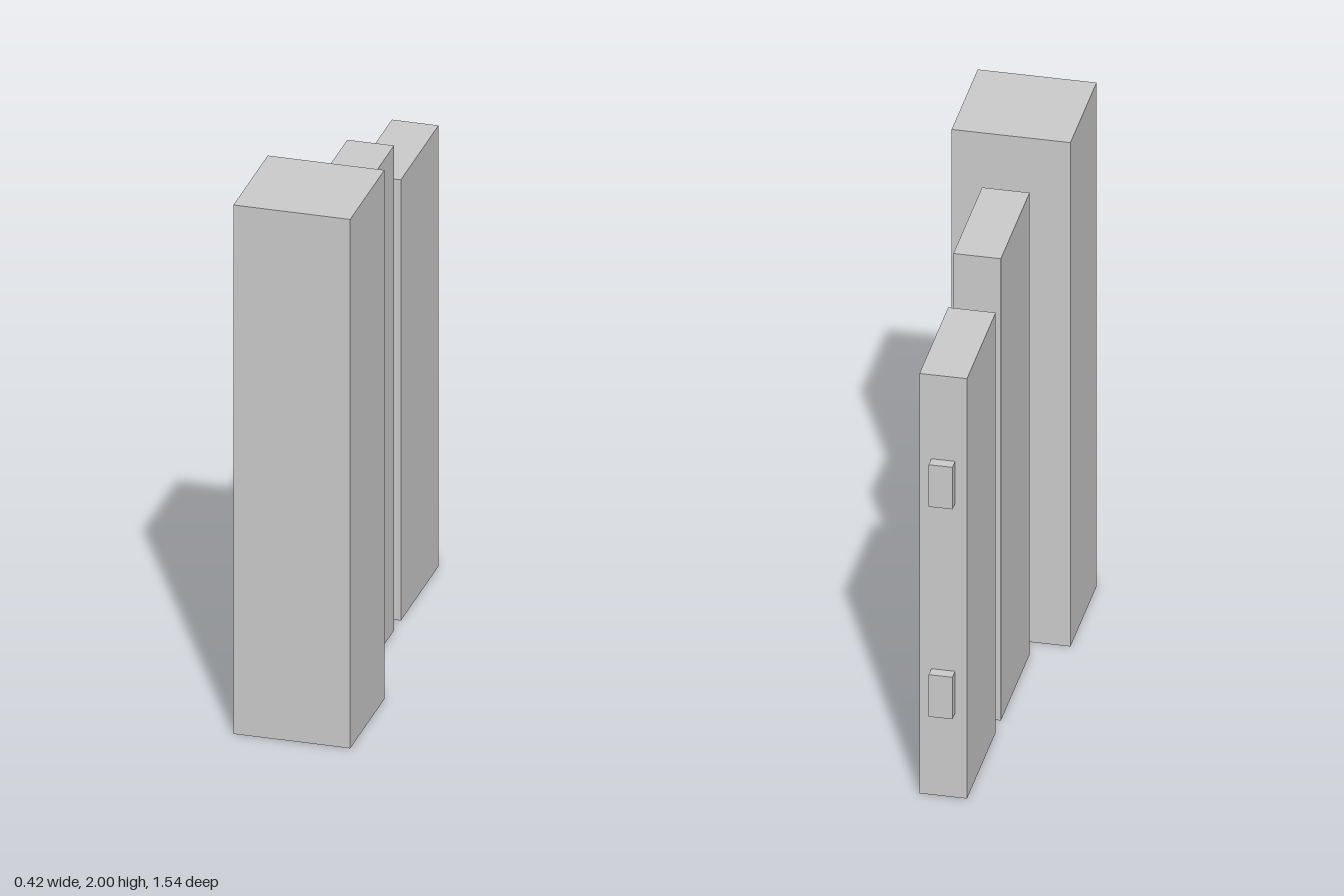
import * as THREE from 'three';

export function createModel() {
  const group = new THREE.Group();
  const material = new THREE.MeshStandardMaterial({ color: 0xcccccc, flatShading: true });

  // Box spanning y0..y1 and z0..z1, centred on x = 0
  function addBox(name, width, y0, y1, z0, z1) {
    const mesh = new THREE.Mesh(new THREE.BoxGeometry(width, y1 - y0, z1 - z0), material);
    mesh.position.set(0, (y0 + y1) / 2, (z0 + z1) / 2);
    mesh.name = name;
    group.add(mesh);
  }

  // Square fence post at the front
  addBox('post', 0.4167, 0, 2, 0.3542, 0.7708);

  // Upright boards, stepping down towards the back
  addBox('tallBoard', 0.1667, 0, 1.8333, -0.1875, 0.2708);
  addBox('shortBoard', 0.1667, 0, 1.6667, -0.7292, -0.2708);

  // Two rails running from the post through the boards
  addBox('lowerRail', 0.0833, 0.3333, 0.5, -0.7708, 0.3542);
  addBox('upperRail', 0.0833, 1.1667, 1.3333, -0.7708, 0.3542);

  return group;
}
